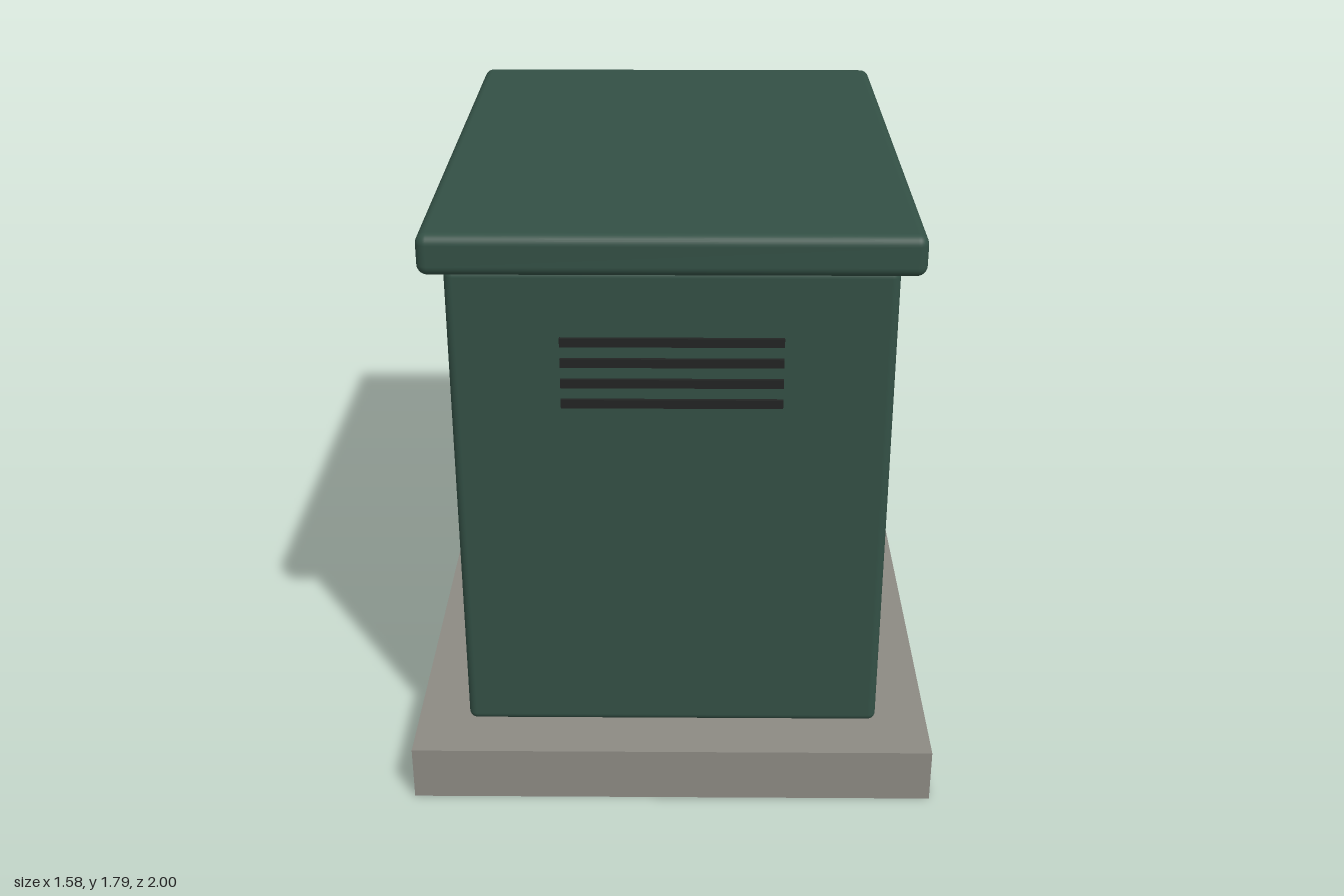
import * as THREE from 'three';
import { RoundedBoxGeometry } from 'three/addons/geometries/RoundedBoxGeometry.js';

function material(name, color) {
  const m = new THREE.MeshStandardMaterial({ color });
  m.name = name;
  return m;
}

export function createModel() {
  const group = new THREE.Group();
  const green = material('dark green paint', 0x335045);
  const concrete = material('concrete grey', 0x8c8a83);
  const black = material('black', 0x222423);
  const yellow = material('warning yellow', 0xb5a022);
  const metal = material('handle grey', 0x8a8682);

  // Add a box given its extents on each axis; a radius rounds its edges
  function addBox(name, mat, [x0, x1], [y0, y1], [z0, z1], radius = 0) {
    const size = [x1 - x0, y1 - y0, z1 - z0];
    const geometry = radius
      ? new RoundedBoxGeometry(...size, 4, radius)
      : new THREE.BoxGeometry(...size);
    const mesh = new THREE.Mesh(geometry, mat);
    mesh.name = name;
    mesh.position.set((x0 + x1) / 2, (y0 + y1) / 2, (z0 + z1) / 2);
    group.add(mesh);
  }

  // Plinth, cabinet and overhanging roof
  addBox('plinth', concrete, [-0.79, 0.79], [0, 0.17], [-1, 1]);
  addBox('cabinet', green, [-0.632, 0.632], [0.17, 1.67], [-0.842, 0.842], 0.025);
  addBox('roof', green, [-0.695, 0.695], [1.67, 1.79], [-0.905, 0.905], 0.03);

  // Ventilation slats on the front
  for (let i = 0; i < 4; i++) {
    const y = 1.267 + i * 0.063;
    addBox('ventSlat', black, [-0.316, 0.316], [y - 0.013, y + 0.013], [0.83, 0.853]);
  }

  // Door seam with a handle on each side
  addBox('doorSeam', black, [0.62, 0.638], [0.242, 1.61], [-0.008, 0.008]);
  for (const z of [-0.105, 0.105]) {
    addBox('doorHandle', metal, [0.62, 0.665], [0.872, 1.03], [z - 0.017, z + 0.017]);
  }

  // Warning plate
  addBox('warningPlate', yellow, [0.631, 0.64], [1.29, 1.455], [-0.535, -0.305]);

  return group;
}
